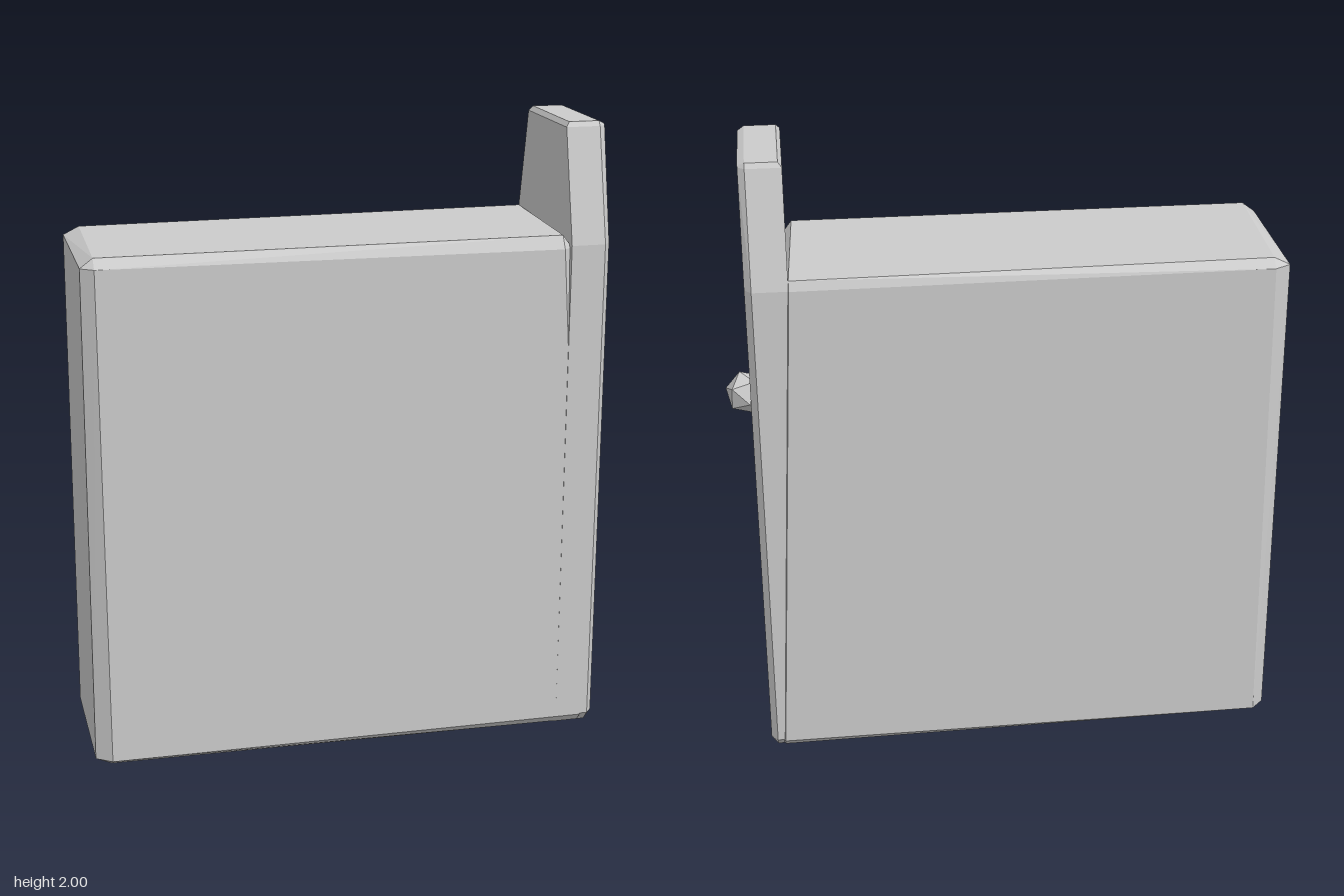
import * as THREE from 'three';
import { ConvexGeometry } from 'three/addons/geometries/ConvexGeometry.js';

const material = new THREE.MeshStandardMaterial({ color: 0xcccccc, flatShading: true });
const V = (x, y, z) => new THREE.Vector3(x, y, z);

function part(name, geometry) {
  const mesh = new THREE.Mesh(geometry, material);
  mesh.name = name;
  return mesh;
}

// Each corner becomes three points, one on each of the faces meeting there.
function chamferedHull(corners, centre) {
  const points = [];
  for (const [x, y, z, cx, cy, cz] of corners) {
    const ix = x - Math.sign(x - centre.x) * cx;
    const iy = y - Math.sign(y - centre.y) * cy;
    const iz = z - Math.sign(z - centre.z) * cz;
    points.push(V(x, iy, iz), V(ix, y, iz), V(ix, iy, z));
  }
  return new ConvexGeometry(points);
}

export function createModel() {
  const model = new THREE.Group();
  model.name = 'box';

  // Slightly uneven block: x, y, z of each corner, then its chamfer along x, y, z
  model.add(part('body', chamferedHull([
    [-0.872, 0.015, 0.265, 0.05, 0.022, 0.035],
    [-0.872, 0.015, -0.275, 0.04, 0.022, 0.04],
    [-0.862, 1.66, 0.265, 0.04, 0.03, 0.03],
    [-0.862, 1.66, -0.275, 0.05, 0.025, 0.03],
    [0.76, 0.003, 0.265, 0.02, 0.028, 0.025],
    [0.76, 0.003, -0.275, 0.02, 0.028, 0.025],
    [0.665, 1.66, 0.265, 0.03, 0.04, 0.025],
    [0.665, 1.66, -0.275, 0.01, 0.03, 0.012],
  ], V(0, 0.8, 0))));

  // Upright end board with tapered top: full outline, then an inset outer face
  const outline = [
    [0.235, 0], [0.265, 0.035], [0.268, 1.63], [0.182, 1.985], [0.17, 2],
    [-0.18, 2], [-0.19, 1.985], [-0.272, 1.63], [-0.272, 0.035], [-0.24, 0],
  ];
  const points = [];
  for (const [z, y] of outline) {
    const lip = y > 1.99 ? 0.012 : 0;
    points.push(V(0.656 + lip, y, z), V(0.765, y, z));
    points.push(V(0.786, THREE.MathUtils.clamp(y, 0.012, 1.99), z * 0.905));
  }
  model.add(part('endBoard', new ConvexGeometry(points)));

  // Small faceted knob set into the end board
  const knob = part('knob', new THREE.IcosahedronGeometry(0.07, 0));
  knob.position.set(0.802, 1.18, 0.002);
  knob.rotation.set(0.35, 0.3, 0.25);
  model.add(knob);

  return model;
}
